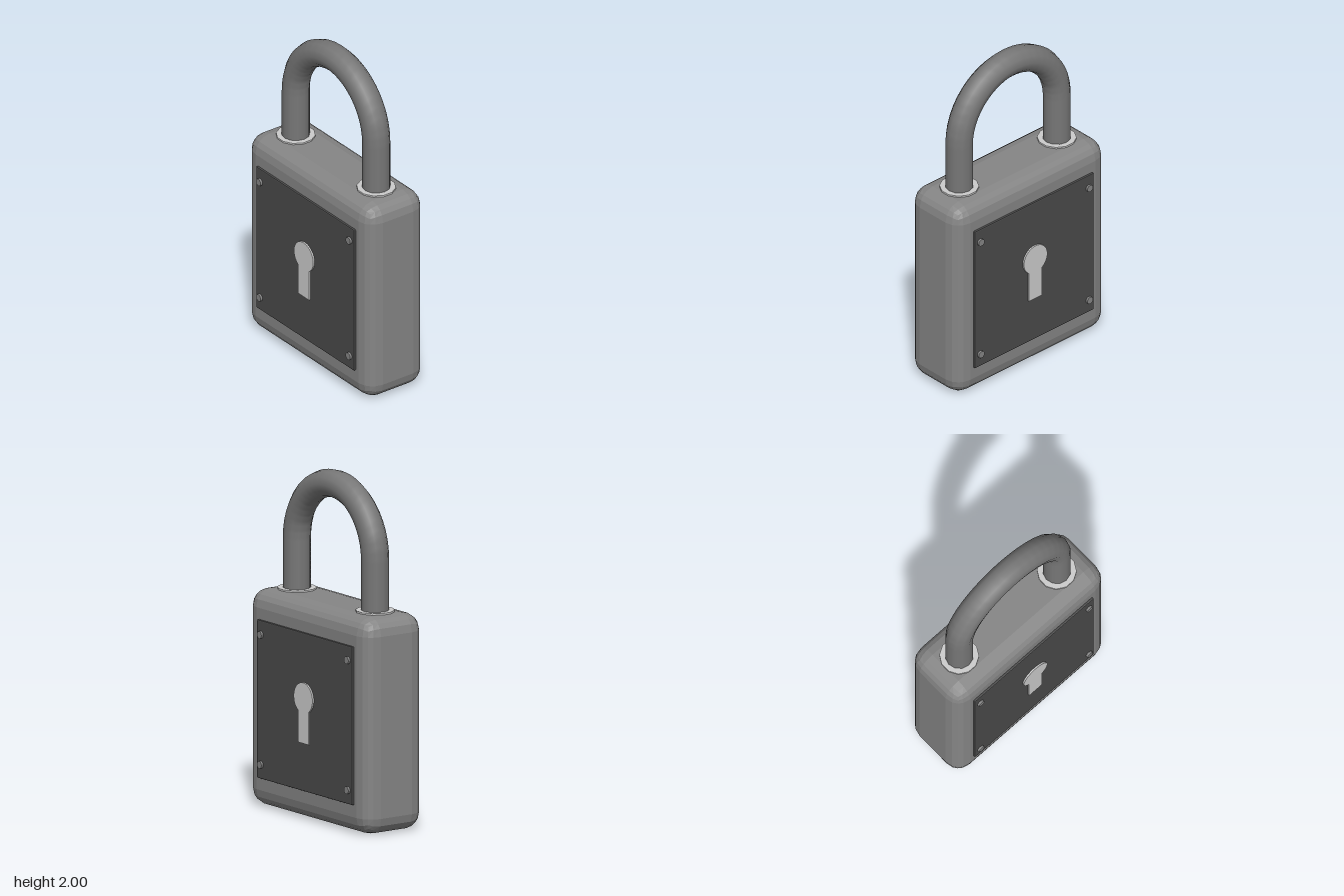
import * as THREE from 'three';
import { RoundedBoxGeometry } from 'three/addons/geometries/RoundedBoxGeometry.js';

const material = (color, flatShading = false) => new THREE.MeshStandardMaterial({ color, flatShading });

function part(parent, name, geometry, mat, x = 0, y = 0, z = 0) {
  const mesh = new THREE.Mesh(geometry, mat);
  mesh.name = name;
  mesh.position.set(x, y, z);
  parent.add(mesh);
  return mesh;
}

// Half circle between two straight legs
function shacklePath() {
  const path = new THREE.CurvePath();
  const r = 0.375, base = 1.2, spring = 1.545;
  const v = (x, y) => new THREE.Vector3(x, y, 0);
  const points = [v(-r, base), v(-r, 1.32), v(-r, 1.44)];
  for (let i = 0; i <= 24; i++) {
    const a = Math.PI * (1 - i / 24);
    points.push(v(r * Math.cos(a), spring + r * Math.sin(a)));
  }
  points.push(v(r, 1.44), v(r, 1.32), v(r, base));
  for (let i = 1; i < points.length; i++) path.add(new THREE.LineCurve3(points[i - 1], points[i]));
  return path;
}

// Round head joined to a straight slot
function keyholeGeometry() {
  const r = 0.09, w = 0.05, cy = 0.71;
  const a = Math.asin(w / r);
  const shape = new THREE.Shape();
  shape.moveTo(-w, 0.45);
  shape.lineTo(w, 0.45);
  shape.absarc(0, cy, r, -Math.PI / 2 + a, Math.PI * 1.5 - a, false);
  shape.closePath();
  return new THREE.ExtrudeGeometry(shape, { depth: 0.022, bevelEnabled: false, curveSegments: 16 });
}

export function createModel() {
  const model = new THREE.Group();
  model.name = 'padlock';
  const bodyMat = material(0x858585, true);
  const steelMat = material(0x777777);
  const plateMat = material(0x4a4a4a, true);
  const lightMat = material(0xcccccc, true);

  // Bevelled body
  part(model, 'body', new RoundedBoxGeometry(1.16, 1.25, 0.414, 2, 0.1), bodyMat, 0, 0.625, 0);

  // Shackle and the collars around its legs
  part(model, 'shackle', new THREE.TubeGeometry(shacklePath(), 72, 0.08, 12), steelMat);
  const collar = new THREE.CylinderGeometry(0.112, 0.112, 0.03, 12);
  collar.rotateY(Math.PI / 12);
  for (const x of [-0.375, 0.375]) part(model, 'shackleCollar', collar, lightMat, x, 1.244, 0);

  // Matching face plates on front and back
  const plate = new RoundedBoxGeometry(0.914, 0.914, 0.04, 1, 0.006);
  const keyhole = keyholeGeometry();
  const rivet = new THREE.CylinderGeometry(0.022, 0.022, 0.026, 12).rotateX(Math.PI / 2);
  for (const side of ['front', 'back']) {
    const face = new THREE.Group();
    face.name = side + 'Face';
    if (side === 'back') face.rotation.y = Math.PI;
    part(face, 'facePlate', plate, plateMat, 0, 0.628, 0.2);
    part(face, 'keyhole', keyhole, lightMat, 0, 0, 0.208);
    for (const x of [-0.417, 0.417]) {
      for (const y of [0.253, 1.003]) part(face, 'rivet', rivet, bodyMat, x, y, 0.22);
    }
    model.add(face);
  }
  return model;
}
